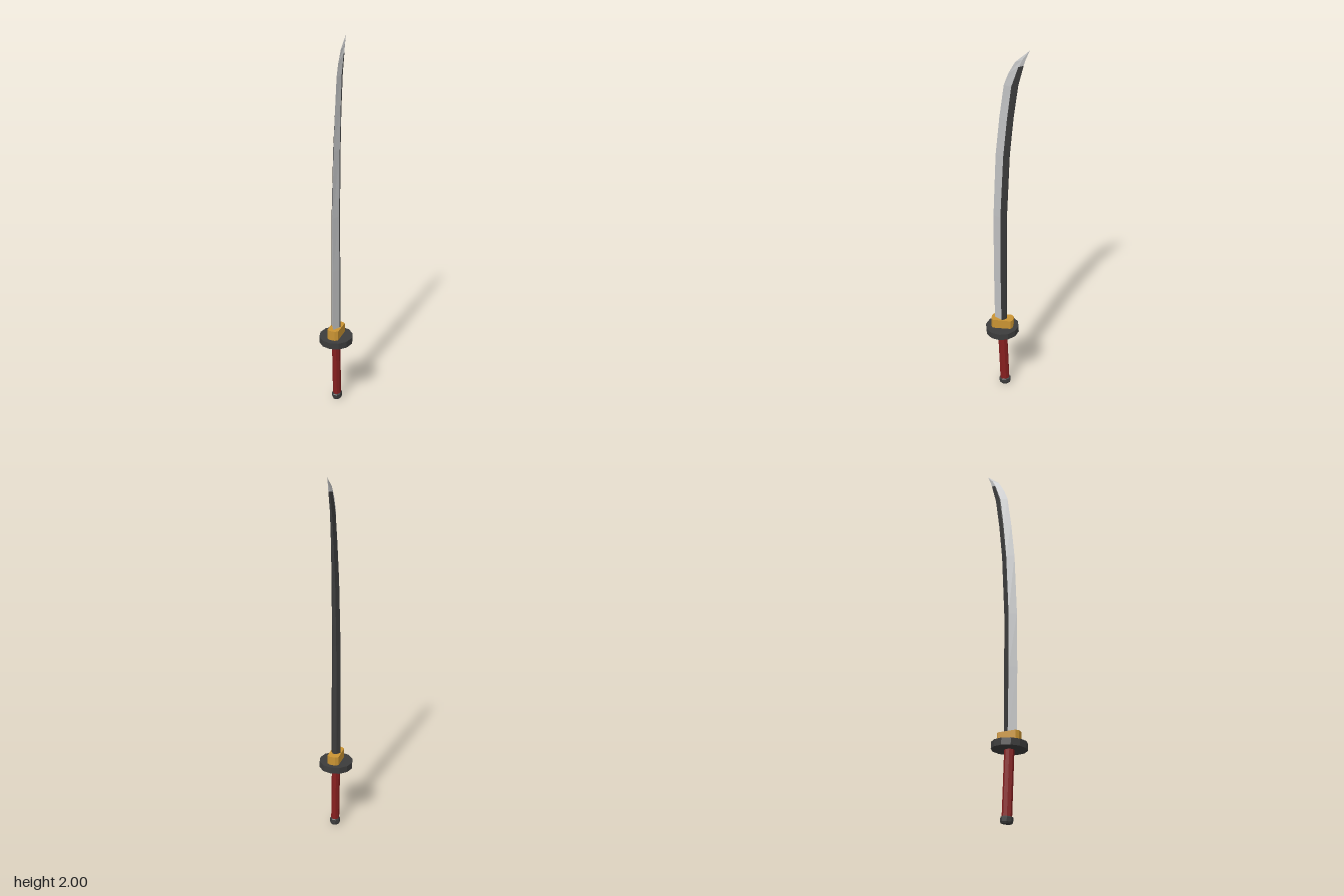
import * as THREE from 'three';

const paint = (name, color) => {
  const m = new THREE.MeshStandardMaterial({ color });
  m.name = name;
  return m;
};

export function createModel() {
  const steel = paint('steel', 0xbebfc0);
  const dark = paint('darkIron', 0x3c3c3c);
  const gold = paint('gold', 0xca9433);
  const red = paint('redGrip', 0x861f1f);
  const sword = new THREE.Group();
  sword.name = 'sword';

  const add = (parent, name, geometry, material) => {
    const mesh = new THREE.Mesh(geometry, material);
    mesh.name = name;
    parent.add(mesh);
    return mesh;
  };
  const faceted = (g) => {
    const flat = g.index ? g.toNonIndexed() : g;
    flat.computeVertexNormals();
    return flat;
  };

  // Blade stations: [z, y] of cutting edge, seam and back, then half width
  const stations = [
    [[0.062, 0.43], [0.022, 0.43], [-0.004, 0.43], 0.025],
    [[0.066, 0.8], [0.027, 0.8], [-0.003, 0.8], 0.024],
    [[0.066, 1.1], [0.027, 1.1], [-0.003, 1.1], 0.022],
    [[0.053, 1.45], [0.012, 1.45], [-0.017, 1.45], 0.019],
    [[0.034, 1.65], [-0.006, 1.65], [-0.035, 1.65], 0.016],
    [[0.012, 1.82], [-0.026, 1.82], [-0.057, 1.82], 0.013],
    [[-0.009, 1.88], [-0.059, 1.92], [-0.083, 1.925], 0.01],
    [[-0.042, 1.94], [-0.075, 1.955], [-0.092, 1.955], 0.006],
    [[-0.111, 2], [-0.111, 2], [-0.111, 2], 0],
  ];
  // Ring order: edge, left seam, ridge and back, then the mirrored right side
  const ring = ([e, m, b, w]) => {
    const ridge = [m[0] + (b[0] - m[0]) * 0.12, m[1] + (b[1] - m[1]) * 0.12];
    const side = [[0.88, m], [1.05, ridge], [0.4, b]];
    return [
      [0, e[1], e[0]],
      ...side.map(([k, p]) => [k * w, p[1], p[0]]),
      ...side.slice().reverse().map(([k, p]) => [-k * w, p[1], p[0]]),
    ];
  };
  const rings = stations.map(ring);
  const bladeFaces = { steel: [], dark: [] };
  for (let s = 0; s < rings.length - 1; s++) {
    for (let i = 0; i < 7; i++) {
      const j = (i + 1) % 7;
      const [a, b, c, d] = [rings[s][i], rings[s][j], rings[s + 1][j], rings[s + 1][i]];
      const isSteel = s >= 6 || i === 0 || i === 6;
      const out = isSteel ? bladeFaces.steel : bladeFaces.dark;
      out.push(...a, ...b, ...c);
      if (s < rings.length - 2) out.push(...a, ...c, ...d);
    }
  }
  const surface = (list) => {
    const g = new THREE.BufferGeometry();
    g.setAttribute('position', new THREE.Float32BufferAttribute(list, 3));
    g.computeVertexNormals();
    return g;
  };
  add(sword, 'bladeEdge', surface(bladeFaces.steel), steel);
  add(sword, 'bladeSpine', surface(bladeFaces.dark), dark);

  // Collar: long octagon around the blade root
  const outline = [
    [0.031, -0.049], [0.031, 0.049], [0.015, 0.06], [-0.015, 0.06],
    [-0.031, 0.049], [-0.031, -0.049], [-0.015, -0.06], [0.015, -0.06],
  ].map(([x, y]) => new THREE.Vector2(x, y));
  const collar = new THREE.ExtrudeGeometry(new THREE.Shape(outline), { depth: 0.06, bevelEnabled: false });
  collar.rotateX(-Math.PI / 2);
  add(sword, 'collar', collar, gold).position.set(0, 0.395, 0.02);

  // Guard and grip share the slight backward lean of the hilt
  const hilt = new THREE.Group();
  hilt.name = 'hilt';
  hilt.position.set(0, 0.385, 0.021);
  hilt.rotation.x = 0.04;
  sword.add(hilt);
  add(hilt, 'guard', faceted(new THREE.CylinderGeometry(0.091, 0.091, 0.036, 12)), dark);
  const grip = faceted(new THREE.CylinderGeometry(0.024, 0.024, 0.36, 8).rotateY(Math.PI / 8).scale(0.92, 1, 1.08));
  add(hilt, 'grip', grip, red).position.y = -0.18;

  // Pommel cap with a chamfered foot
  const profile = [[0, -0.017], [0.025, -0.017], [0.029, -0.009], [0.029, 0.013], [0.025, 0.017], [0, 0.017]]
    .map(([r, y]) => new THREE.Vector2(r, y));
  const cap = faceted(new THREE.LatheGeometry(profile, 8).rotateY(Math.PI / 8).scale(0.95, 1, 1.12));
  const pommel = add(sword, 'pommel', cap, dark);
  pommel.position.set(0, 0.021, 0.006);
  pommel.rotation.x = 0.12;

  return sword;
}
